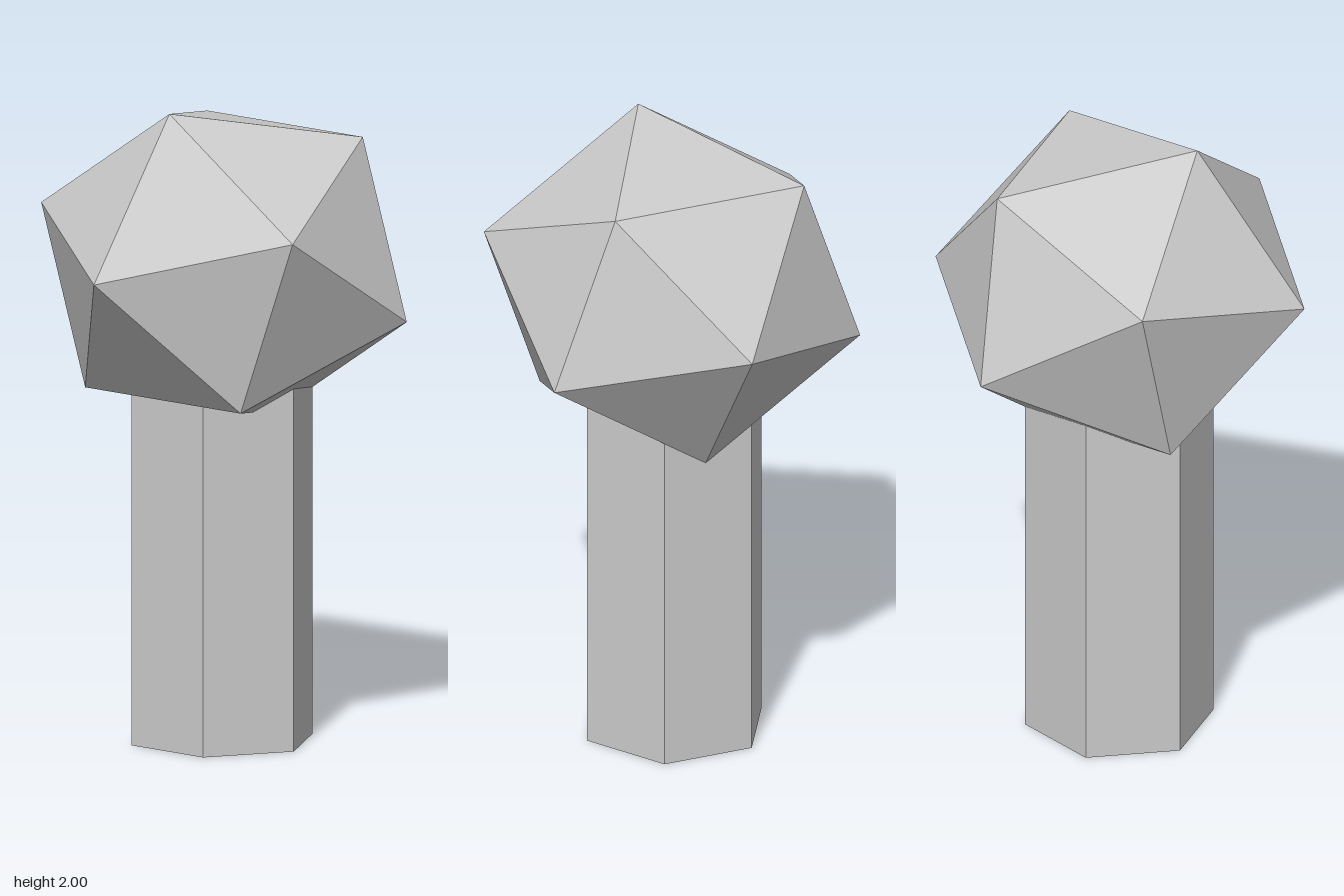
import * as THREE from 'three';

export function createModel() {
  const model = new THREE.Group();
  const material = new THREE.MeshStandardMaterial({ color: 0xcccccc, flatShading: true });

  // Hexagonal trunk, one edge facing the front, its top hidden inside the crown
  const trunkHeight = 1.25;
  const trunk = new THREE.Mesh(
    new THREE.CylinderGeometry(0.294, 0.294, trunkHeight, 6), material);
  trunk.name = 'trunk';
  trunk.position.set(0, trunkHeight / 2, -0.008);
  model.add(trunk);

  // Faceted crown: tilted about z, then slightly flattened in height
  const crownGeometry = new THREE.IcosahedronGeometry(0.606, 0);
  crownGeometry.rotateZ(THREE.MathUtils.degToRad(56.5));
  crownGeometry.scale(1, 0.912, 1);
  const crown = new THREE.Mesh(crownGeometry, material);
  crown.name = 'crown';
  crown.position.y = 1.498;
  model.add(crown);

  return model;
}
